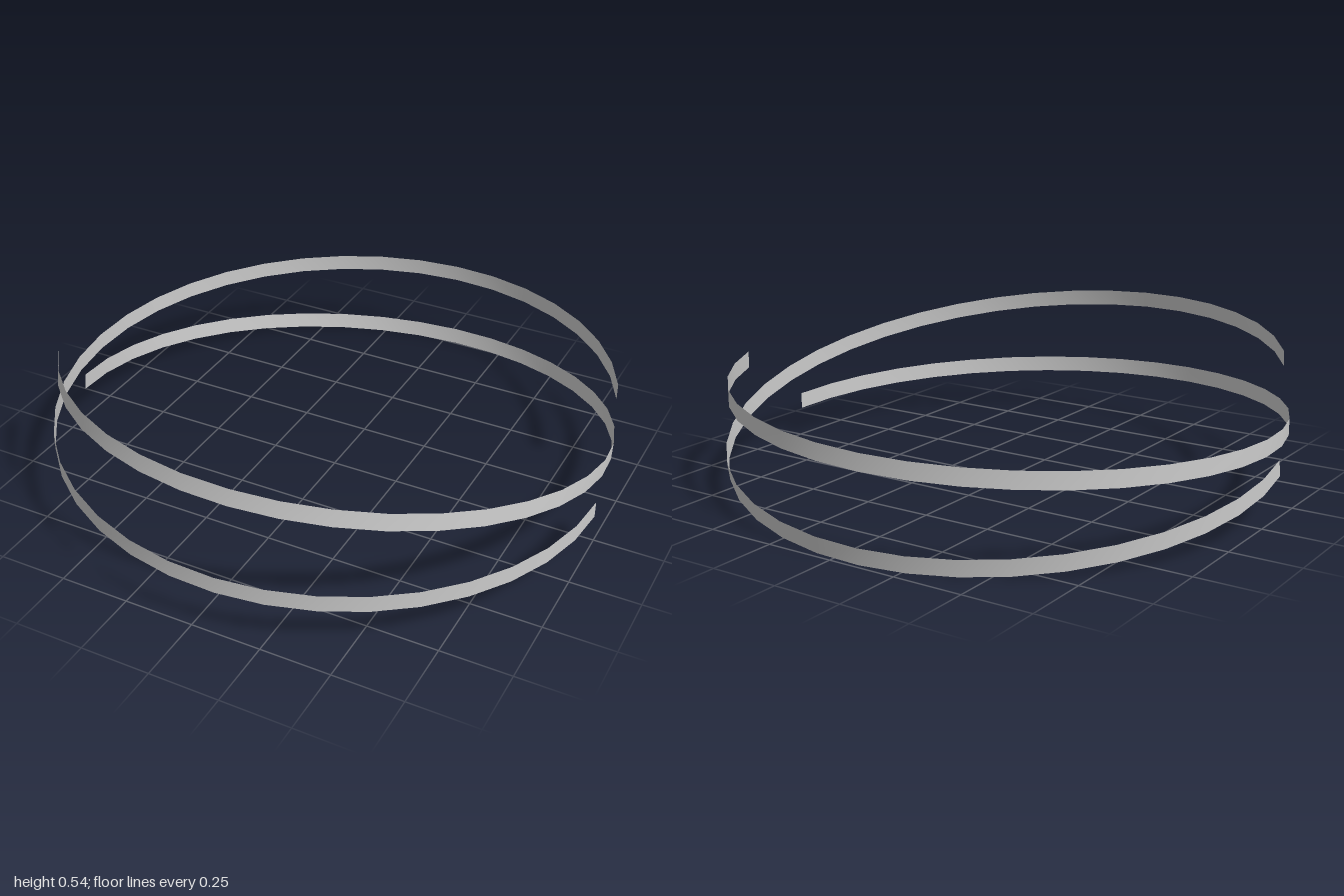
import * as THREE from 'three';

const RADIUS = 0.995, WIDTH = 0.06, DROP = 0.042; // DROP: height lost per radian
const SWEEP = THREE.MathUtils.degToRad(339), SEGMENTS = 36;

// Flat strip wound into one open, slightly descending turn about its own axis
function ribbonGeometry() {
  const geometry = new THREE.PlaneGeometry(SWEEP, WIDTH, SEGMENTS, 1);
  const p = geometry.attributes.position;
  for (let i = 0; i < p.count; i++) {
    const t = p.getX(i);
    p.setXYZ(i, RADIUS * Math.sin(t), p.getY(i) - DROP * t, RADIUS * Math.cos(t));
  }
  geometry.computeVertexNormals();
  return geometry;
}

export function createModel() {
  const model = new THREE.Group();
  model.name = 'ribbonRings';
  const geometry = ribbonGeometry();
  const material = new THREE.MeshStandardMaterial({ color: 0xcccccc, side: THREE.DoubleSide });

  // turn: direction of the middle of the strip; tilt: lean about the x axis
  const addRing = (name, turn, tilt, x, y, z) => {
    const ring = new THREE.Mesh(geometry, material);
    ring.name = name;
    ring.rotation.set(tilt, THREE.MathUtils.degToRad(turn), 0);
    ring.position.set(x, y, z);
    model.add(ring);
  };
  addRing('tiltedRing', 110.5, -0.173, -0.004, 0.258, -0.027);
  addRing('levelRing', -79.5, 0, 0.002, 0.264, 0.01);
  return model;
}
